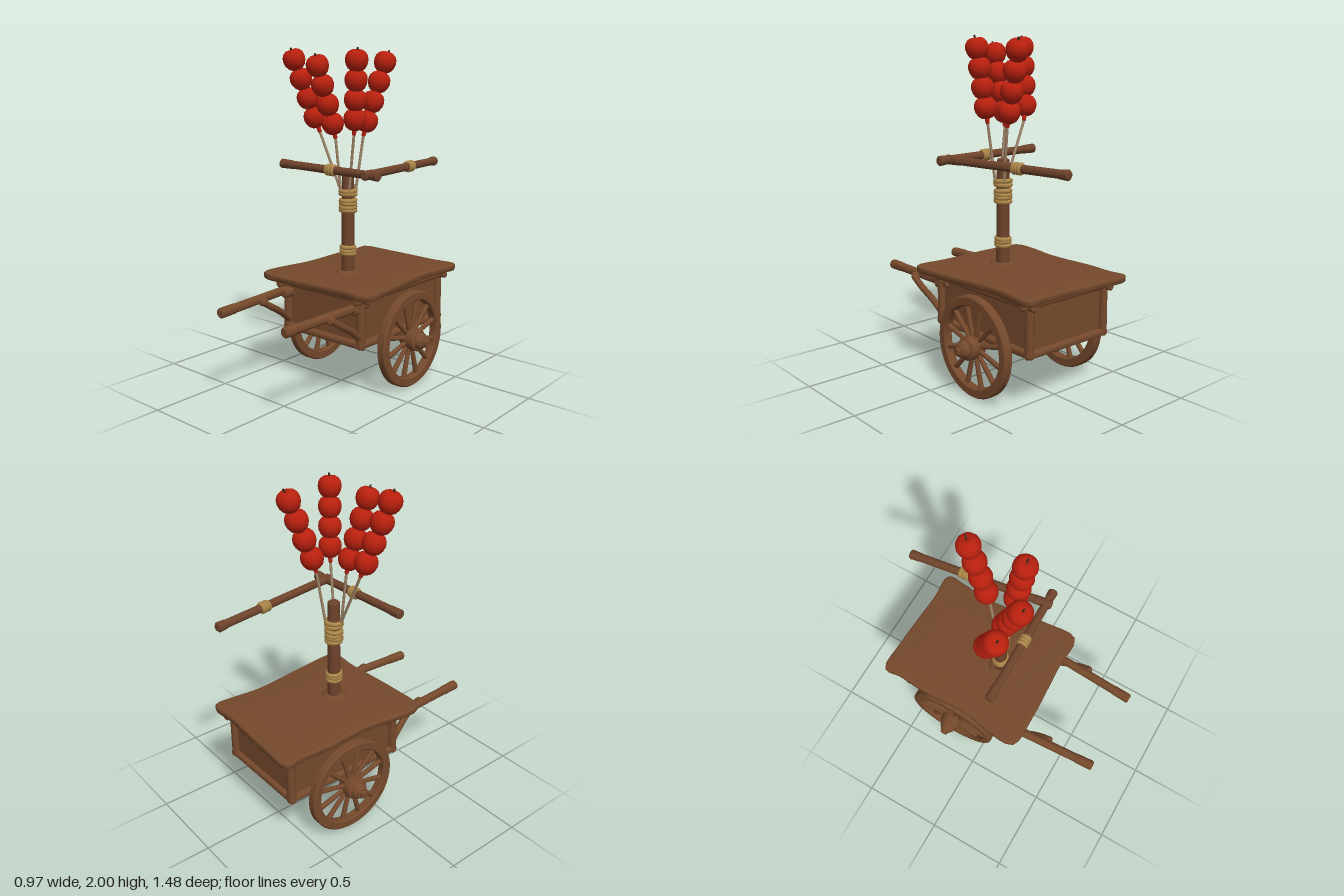
import * as THREE from 'three';
import { toCreasedNormals } from 'three/addons/utils/BufferGeometryUtils.js';
import { RoundedBoxGeometry } from 'three/addons/geometries/RoundedBoxGeometry.js';

const mat = (name, color) => Object.assign(new THREE.MeshStandardMaterial({ color }), { name });
const V = (x, y, z) => new THREE.Vector3(x, y, z);
const UP = V(0, 1, 0);

export function createModel() {
  const root = new THREE.Group();
  root.name = 'candiedFruitCart';
  const wood = mat('brown wood', 0x75492c);
  const poleWood = mat('pole wood', 0x6e432b);
  const rope = mat('straw rope', 0xac8648);
  const stickWood = mat('bamboo stick', 0x9c8266);
  const red = mat('red fruit', 0xb9200e);
  const stemMat = mat('dark stem', 0x3a2a18);

  const add = (name, geo, m, parent = root) => {
    const mesh = new THREE.Mesh(geo, m);
    mesh.name = name;
    parent.add(mesh);
    return mesh;
  };
  const lathe = (pts, seg = 24) =>
    toCreasedNormals(new THREE.LatheGeometry(pts.map(p => new THREE.Vector2(...p)), seg), 0.7);
  // Place a y-aligned mesh so that its base is at a and its axis points to b
  const aim = (mesh, a, b) => {
    mesh.position.copy(a);
    mesh.quaternion.setFromUnitVectors(UP, b.clone().sub(a).normalize());
    return mesh;
  };
  // Round log with softened ends
  const log = (name, a, b, r0, r1 = r0, m = wood, parent = root) => {
    const L = a.distanceTo(b), e = Math.min(0.008, r0 * 0.4);
    return aim(add(name, lathe([[0, 0], [r0 - e, 0], [r0, e], [r1, L - e], [r1 - e, L], [0, L]], 14), m, parent), a, b);
  };
  const box = (name, w, h, d, x, y, z, r = 0.008) =>
    add(name, new RoundedBoxGeometry(w, h, d, 2, r), wood).position.set(x, y, z);
  // Coils of rope around an axis
  const binding = (name, centre, dir, r, rows, tube = 0.014) => {
    const g = new THREE.Group();
    g.name = name;
    const step = tube * 1.45;
    for (let i = 0; i < rows; i++) {
      const t = add('ropeCoil', new THREE.TorusGeometry(r, tube, 8, 24), rope, g);
      t.rotation.x = Math.PI / 2 + (i % 2 ? 0.06 : -0.06);
      t.position.y = (i - (rows - 1) / 2) * step;
    }
    g.position.copy(centre);
    g.quaternion.setFromUnitVectors(UP, dir.clone().normalize());
    root.add(g);
  };

  // Wavy table top
  const outline = [[-0.365, -0.675], [-0.18, -0.68], [0, -0.672], [0.2, -0.66], [0.36, -0.66], [0.362, -0.55], [0.345, -0.38],
    [0.36, -0.2], [0.378, -0.06], [0.39, 0.06], [0.39, 0.25], [0.2, 0.252], [0, 0.262], [-0.2, 0.268], [-0.39, 0.25],
    [-0.39, 0.06], [-0.368, -0.05], [-0.362, -0.2], [-0.372, -0.4], [-0.36, -0.58]];
  const curve = new THREE.CatmullRomCurve3(outline.map(([x, z]) => V(x, -z, 0)), true, 'centripetal');
  const topShape = new THREE.Shape(curve.getPoints(80).slice(0, -1).map(p => new THREE.Vector2(p.x, p.y)));
  const topGeo = new THREE.ExtrudeGeometry(topShape, { depth: 0.02, bevelEnabled: true, bevelThickness: 0.011, bevelSize: 0.01, bevelSegments: 3 });
  topGeo.rotateX(-Math.PI / 2);
  add('tableTop', toCreasedNormals(topGeo, 0.8), wood).position.y = 0.641;
  box('topPanel', 0.44, 0.012, 0.66, 0, 0.669, -0.24, 0.004);

  // Box body: panels set back between posts and rails
  box('boxBody', 0.56, 0.28, 0.75, 0, 0.48, -0.215, 0.006);
  box('floorBoard', 0.58, 0.03, 0.77, 0, 0.335, -0.215);
  const zF = 0.165, zB = -0.595;
  for (const s of [-1, 1]) {
    const x = s * 0.285;
    for (const z of [zF, zB]) {
      log('cornerPost', V(x, 0.33, z), V(x, 0.63, z), 0.026, 0.024);
    }
    log('lowerSideRail', V(x, 0.335, 0.19), V(x, 0.335, -0.62), 0.024);
    log('upperSideRail', V(s * 0.295, 0.607, 0.24), V(s * 0.295, 0.607, -0.65), 0.023);
    const z = s > 0 ? zF : zB;
    log('lowerEndRail', V(-0.31, 0.333, z), V(0.31, 0.333, z), 0.023);
    log('upperEndRail', V(-0.35, 0.608, z), V(0.35, 0.608, z), 0.022);
  }

  // Handles and braces
  for (const [s, x0, x1, bx] of [[-1, -0.29, -0.25, -0.235], [1, 0.275, 0.245, 0.3]]) {
    const a = V(x0, 0.565, 0.1), b = V(x1, 0.553, 0.735);
    log('handle', a, b, 0.026, 0.027);
    log('handleGrip', a.clone().lerp(b, 0.82), b.clone().add(V(0, 0, 0.004)), 0.029, 0.03);
    const path = new THREE.CatmullRomCurve3([V(bx, 0.55, 0.43), V(bx, 0.5, 0.35), V((bx + s * 0.28) / 2, 0.44, 0.25), V(s * 0.28, 0.37, 0.16)]);
    add('handleBrace', new THREE.TubeGeometry(path, 16, 0.02, 10), wood);
    log('braceFoot', V(bx, 0.55, 0.445), V(bx + (x1 - bx) * 0.5, 0.55, 0.4), 0.022);
    log('handlePeg', V(s * 0.27, 0.55, 0.15), V(s * 0.27, 0.55, 0.225), 0.03);
  }

  // Wheels and axle
  const wy = 0.292, wz = -0.22;
  log('axle', V(-0.46, wy, wz), V(0.46, wy, wz), 0.024);
  for (const s of [-1, 1]) {
    const wheel = new THREE.Group();
    wheel.name = s > 0 ? 'leftWheel' : 'rightWheel';
    add('rim', lathe([[0.242, -0.028], [0.284, -0.028], [0.292, -0.02], [0.292, 0.02], [0.284, 0.028],
      [0.242, 0.028], [0.235, 0.02], [0.235, -0.02], [0.242, -0.028]], 48), wood, wheel);
    add('hub', lathe([[0, -0.045], [0.05, -0.045], [0.058, -0.035], [0.064, 0], [0.068, 0.03], [0.066, 0.06], [0.056, 0.066],
      [0.05, 0.068], [0.048, 0.088], [0.04, 0.096], [0.036, 0.098], [0.034, 0.11], [0.024, 0.112], [0.024, 0.126],
      [0.02, 0.13], [0, 0.13]], 24), wood, wheel);
    for (let i = 0; i < 12; i++) {
      const t = (i + 0.5) * Math.PI / 6, c = Math.cos(t), n = Math.sin(t);
      log('spoke', V(c * 0.05, 0, n * 0.05), V(c * 0.245, 0, n * 0.245), 0.013, 0.016, wood, wheel);
    }
    wheel.rotation.z = -s * Math.PI / 2;
    wheel.position.set(s * 0.353, wy, wz);
    root.add(wheel);
  }

  // Pole with its collar and bindings
  const pz = -0.058;
  log('pole', V(0, 0.66, pz), V(0, 1.3, pz), 0.04, 0.036, poleWood);
  add('poleCollar', lathe([[0.078, 0], [0.075, 0.008], [0.055, 0.02], [0, 0.02]], 24), wood).position.set(0, 0.668, pz);
  binding('lowerBinding', V(0, 0.81, pz), UP, 0.039, 3, 0.013);
  binding('middleBinding', V(0, 1.082, pz), UP, 0.042, 4, 0.014);
  binding('upperBinding', V(0, 1.16, pz), UP, 0.044, 2, 0.014);

  // Two upper bars with thicker ends
  const bar = (name, a, b, tieAt) => {
    log(name, a, b, 0.024, 0.024, poleWood);
    log('barEnd', a, a.clone().lerp(b, 0.13), 0.028, 0.026, poleWood);
    log('barEnd', b, b.clone().lerp(a, 0.08), 0.029, 0.026, poleWood);
    binding('barBinding', a.clone().lerp(b, tieAt), b.clone().sub(a), 0.021, 3);
  };
  bar('crossBar', V(-0.39, 1.315, 0.1), V(0.35, 1.3, 0.093), 0.53);
  bar('rearBar', V(0.268, 1.3, 0.125), V(0.148, 1.295, -0.735), 0.61);

  // Fruit skewers: lowest and highest fruit centres, and stick base
  const fruitGeo = lathe([[0, -0.056], [0.014, -0.061], [0.032, -0.056], [0.05, -0.041], [0.062, -0.017], [0.066, 0.006],
    [0.062, 0.03], [0.05, 0.049], [0.032, 0.06], [0.016, 0.06], [0.006, 0.053], [0, 0.05]], 24);
  const skewers = [
    [V(-0.217, 1.59, -0.01), V(-0.285, 1.925, 0.09), V(-0.03, 1.14, pz + 0.015)],
    [V(-0.063, 1.56, 0.005), V(-0.084, 1.89, 0.11), V(-0.015, 1.14, pz + 0.042)],
    [V(0.09, 1.59, -0.01), V(0.127, 1.92, 0.02), V(0.03, 1.14, pz + 0.03)],
    [V(0.052, 1.57, -0.165), V(0.093, 1.91, -0.28), V(0.025, 1.14, pz - 0.035)],
  ];
  for (const [low, high, base] of skewers) {
    const dir = high.clone().sub(low).normalize();
    const foot = low.clone().addScaledVector(dir, -0.05);
    log('stick', base, foot, 0.008, 0.008, stickWood);
    log('syrupDrip', foot.clone().lerp(base, 0.1), low, 0.012, 0.016, red);
    for (let i = 0; i < 4; i++) {
      const p = low.clone().lerp(high, i / 3);
      aim(add('fruit', fruitGeo, red), p, p.clone().add(dir));
    }
    const tip = high.clone().addScaledVector(dir, 0.045);
    log('stem', tip, tip.clone().addScaledVector(dir, 0.03).add(V(0.006, 0, 0)), 0.005, 0.006, stemMat);
  }
  return root;
}
